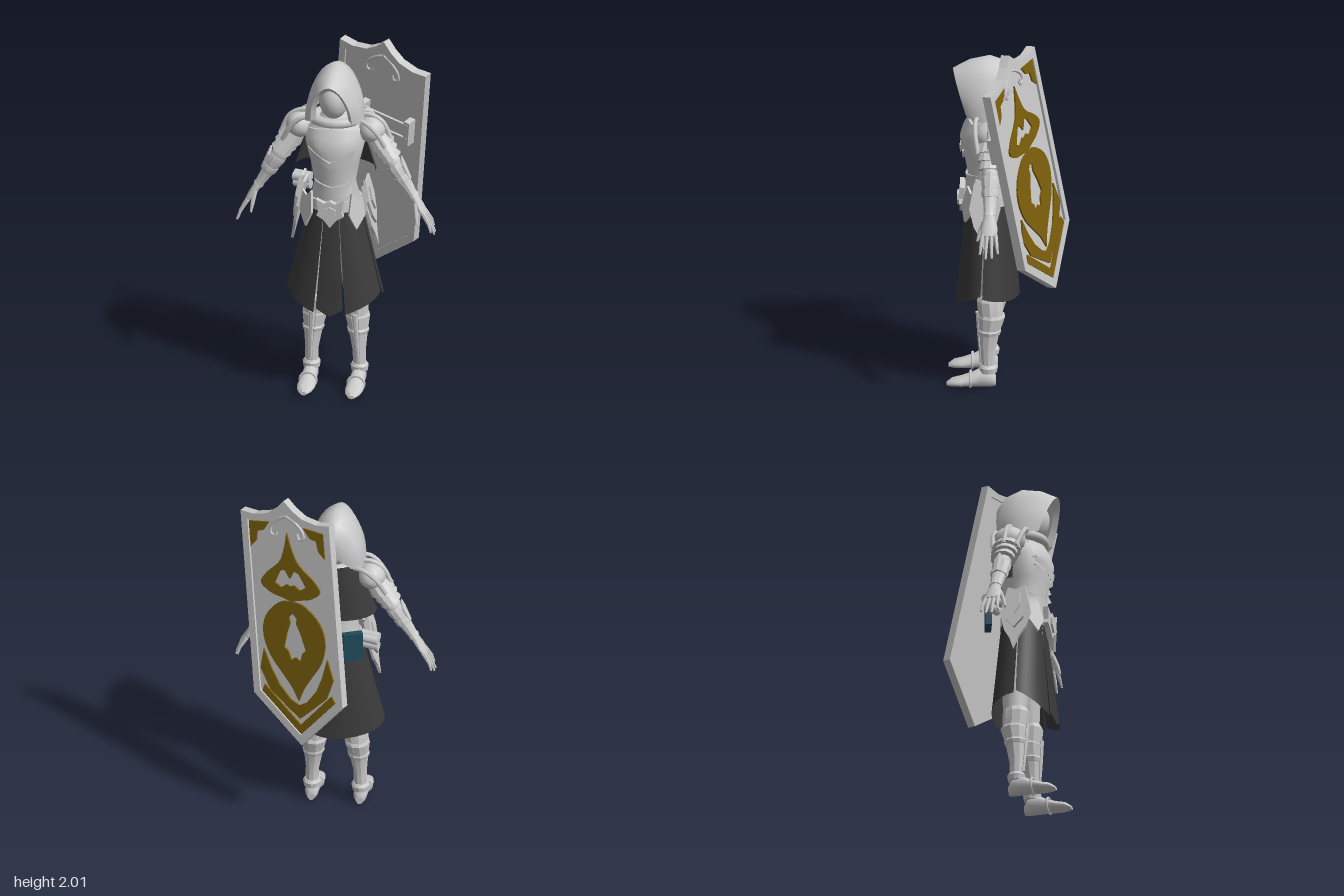
import * as THREE from 'three';
import { toCreasedNormals } from 'three/addons/utils/BufferGeometryUtils.js';

const mat = (name, color) => Object.assign(new THREE.MeshStandardMaterial({ color, side: THREE.DoubleSide }), { name });
const V2 = (p) => new THREE.Vector2(p[0], p[1]);
const { lerp } = THREE.MathUtils;

// Surface through rows of points
function grid(rows, closed = false, crease = 0.7) {
  const n = rows[0].length, idx = [];
  for (let i = 0; i < rows.length - 1; i++)
    for (let j = 0; j < (closed ? n : n - 1); j++) {
      const k = (j + 1) % n, a = i * n + j, b = i * n + k;
      idx.push(a, a + n, b, b, a + n, b + n);
    }
  const g = new THREE.BufferGeometry();
  g.setAttribute('position', new THREE.Float32BufferAttribute(rows.flat(2), 3));
  g.setIndex(idx);
  return toCreasedNormals(g, crease);
}

// Closed body from elliptical rings [y, rx, rz, cx, cz], listed upwards
function loft(rings, n = 16, crease = 0.7) {
  const end = ([y, , , cx, cz]) => [y, 1e-4, 1e-4, cx, cz];
  const all = [end(rings[0]), ...rings, end(rings[rings.length - 1])];
  return grid(all.map(([y, rx, rz, cx = 0, cz = 0]) => Array.from({ length: n }, (_, j) => {
    const a = (j / n) * Math.PI * 2;
    return [cx + rx * Math.cos(a), y, cz + rz * Math.sin(a)];
  })), true, crease);
}

// Symmetric outline from its +x half, listed from top centre to bottom centre
function halves(half, smooth) {
  const p = smooth ? new THREE.SplineCurve(half.map(V2)).getPoints(24) : half.map(V2);
  return [...p, ...p.slice(1, -1).reverse().map((q) => new THREE.Vector2(-q.x, q.y))];
}
function plate(outline, depth, hole) {
  const s = new THREE.Shape(outline);
  if (hole) s.holes.push(new THREE.Path(hole));
  return new THREE.ExtrudeGeometry(s, { depth, bevelEnabled: false });
}

export function createModel() {
  const root = new THREE.Group();
  const steel = mat('pale steel', 0xcbcbcb), cloth = mat('dark cloth', 0x3a3a3a);
  const gold = mat('old gold', 0x7d600c), teal = mat('teal leather', 0x1f4a58);
  const add = (name, geo, m = steel, parent = root, pos = [0, 0, 0], rot = [0, 0, 0]) => {
    const o = new THREE.Mesh(geo, m);
    o.name = name;
    o.position.set(...pos);
    o.rotation.set(...rot);
    parent.add(o);
    return o;
  };
  const group = (name, parent = root) => {
    const g = new THREE.Group();
    g.name = name;
    parent.add(g);
    return g;
  };
  const tube = (pts, r) => new THREE.TubeGeometry(new THREE.CatmullRomCurve3(pts.map((p) => new THREE.Vector3(...p))), 16, r, 6);

  // Torso
  const body = [[1.0, .135, .115, 0, .09], [1.1, .135, .115, 0, .09], [1.2, .113, .11, 0, .1], [1.32, .135, .13, 0, .1],
    [1.44, .165, .14, 0, .1], [1.52, .155, .115, 0, .09], [1.57, .09, .08, 0, .09], [1.62, .06, .06, 0, .09]];
  add('torso', loft(body, 24));
  const frontZ = (x, y) => {
    const i = Math.max(0, body.findIndex((r) => r[0] > y) - 1), a = body[i], b = body[i + 1], t = (y - a[0]) / (b[0] - a[0]);
    const rx = lerp(a[1], b[1], t), q = Math.min(.97, Math.abs(x) / rx);
    return lerp(a[4], b[4], t) + lerp(a[2], b[2], t) * Math.sqrt(1 - q * q);
  };
  // Breastplate and layered chevrons, following the chest
  const chestPlate = (w, low, high, lift) => grid([0, .33, .66, 1, 1.001].map((v) =>
    Array.from({ length: 13 }, (_, i) => {
      const x = w * (1 - i / 6), y = lerp(low(Math.abs(x)), high(Math.abs(x)), Math.min(v, 1));
      return [x, y, frontZ(x, y) + (v > 1 ? -.01 : lift)];
    })), false, .5);
  add('breastplate', chestPlate(.135, (x) => 1.36 + x * .45, (x) => 1.54 - x * .15, .014));
  add('upperChevron', chestPlate(.13, (x) => 1.315 + x * .65, (x) => 1.355 + x * .55, .022));
  add('lowerChevron', chestPlate(.115, (x) => 1.28 + x * .6, (x) => 1.315 + x * .6, .012));
  add('waistPlate', chestPlate(.105, (x) => 1.12 + x * .3, (x) => 1.2 + x * .2, .012));
  add('belt', loft([[1.05, .148, .128, 0, .09], [1.11, .145, .125, 0, .09]], 24));
  add('buckle', plate(halves([[0, 1.13], [.03, 1.115], [.075, 1.14], [.065, 1.07], [.075, 1.045], [.035, 1.02], [0, .975]]), .03),
    steel, root, [0, 0, .225]);
  add('buckleBoss', plate(halves([[0, 1.1], [.035, 1.085], [.035, 1.05], [0, 1.01]]), .012), steel, root, [0, 0, .255]);

  // Hood, face and collar
  const arch = [[-1, 0], [-.95, .28], [-.8, .55], [-.48, .85], [0, 1], [.48, .85], [.8, .55], [.95, .28], [1, 0]];
  const archPts = new THREE.SplineCurve(arch.map(V2)).getPoints(24);
  add('hood', grid([[-.045, -.05, .02, 1.67, 1.72], [-.03, -.05, .1, 1.6, 1.8], [.03, 0, .148, 1.57, 1.86], [.1, .09, .162, 1.56, 1.89],
    [.17, .2, .155, 1.565, 1.865], [.215, .29, .115, 1.58, 1.815], [.185, .255, .09, 1.59, 1.785]].map(([zb, zt, w, bot, top]) =>
    archPts.map((p) => [w * p.x, lerp(bot, top, p.y), lerp(zb, zt, p.y)])), false, 1));
  add('hoodBack', new THREE.SphereGeometry(.1, 20, 14).scale(1, 1.05, .8), steel, root, [0, 1.69, .04]);
  add('face', new THREE.SphereGeometry(1, 24, 18).scale(.082, .115, .1), steel, root, [0, 1.695, .135]);
  add('collar', new THREE.TorusGeometry(.1, .03, 8, 24).rotateX(Math.PI / 2).scale(1.15, .9, 1), steel, root, [0, 1.57, .1]);

  // Cloth panels hung on a flaring ellipse; angle 0 faces front
  const drape = (a0, a1, hem, top, bot, gap = 0) => grid(Array.from({ length: 6 }, (_, r) =>
    Array.from({ length: 15 }, (_, j) => {
      const t = r / 5, u = j / 14, a = lerp(a0 + gap * t, a1 - gap * t, u), y = lerp(top[0], hem(u), t);
      const s = (top[0] - y) / (top[0] - bot[0]);
      return [lerp(top[1], bot[1], s) * Math.sin(a), y, lerp(top[3], bot[3], s) + lerp(top[2], bot[2], s) * Math.cos(a)];
    })), false, .8);
  const waist = [1.08, .14, .12, .09], hemRing = [.52, .275, .172, .1];
  add('frontSkirtPanel', drape(-.28, .28, (u) => .46 + Math.abs(u - .5) * .08, waist, hemRing, .01), cloth);
  for (const s of [1, -1])
    add('sideSkirtPanel', drape(s * .29, s * 1.4, (u) => .475 + u * .1, waist, hemRing, s * .025), cloth);
  add('backSkirtPanel', drape(1.42, Math.PI * 2 - 1.42, (u) => .5 + Math.abs(u - .5) * .12, waist, hemRing, .02), cloth);
  add('cape', drape(1.5, Math.PI * 2 - 1.5, () => 1.27, [1.6, .12, .11, .07], [1.27, .225, .15, .09]), cloth);

  for (const s of [1, -1]) {
    const side = s > 0 ? 'left' : 'right';

    // Arm, built pointing down and swung outward
    const arm = group(side + 'Arm');
    arm.position.set(s * .2, 1.5, .075);
    arm.rotation.z = s * .555;
    add('upperArm', loft([[-.25, .038, .04], [-.15, .046, .05], [0, .05, .06], [.04, .03, .04]]), steel, arm);
    add('elbowCop', new THREE.SphereGeometry(.047, 12, 8), steel, arm, [0, -.215, 0]);
    add('bracer', loft([[-.44, .03, .036], [-.42, .026, .033], [-.3, .04, .045], [-.245, .05, .053], [-.225, .046, .05]], 10, .5), steel, arm);
    add('bracerCuff', loft([[-.34, .041, .046], [-.325, .045, .05], [-.3, .044, .049]], 10, .4), steel, arm);
    add('elbowSpike', loft([[-.34, .01, .02, s * .035], [-.25, .016, .03, s * .045], [-.205, .004, .006, s * .062]], 6, .4), steel, arm);
    [[-.075, .066, .078], [-.12, .06, .07], [-.165, .055, .062]].forEach(([y, rx, rz]) =>
      add('shoulderLame', loft([[y - .025, rx + .006, rz + .006, s * .006], [y + .03, rx - .008, rz - .008, s * .002]], 12, .4), steel, arm));
    add('hand', loft([[-.555, .014, .042], [-.51, .02, .046], [-.46, .022, .034], [-.425, .024, .03]], 12, 1), steel, arm);
    [-.034, -.011, .012, .034].forEach((z, i) => {
      const tip = [-.65, -.675, -.68, -.655][i];
      add('finger', loft([[tip, .006, .006, -s * .012, z * 1.45], [-.61, .01, .01, 0, z * 1.25], [-.54, .012, .012, 0, z]], 8, 1), steel, arm);
    });
    add('thumb', loft([[-.575, .007, .007, -s * .05, .065], [-.53, .012, .012, -s * .03, .052], [-.47, .014, .015, -s * .005, .025]], 8, 1), steel, arm);

    // Pauldron with raised straps
    add(side + 'Pauldron', new THREE.SphereGeometry(1, 16, 10).scale(.078, .075, .092), steel, root, [s * .2, 1.505, .075], [0, 0, -s * .5]);
    for (const z of [.16, -.005])
      add('shoulderStrap', tube([[s * .1, 1.575, .08 + (z - .08) * .7], [s * .17, 1.575, z], [s * .235, 1.52, z], [s * .285, 1.43, .08 + (z - .08) * .8]], .014), steel, root);
    add('shoulderRidge', tube([[s * .09, 1.58, .08], [s * .19, 1.59, .08], [s * .26, 1.55, .08], [s * .31, 1.44, .08]], .014), steel, root);

    // Hip plates, hung from the belt and leaning outward
    const hip = group(side + 'HipPlates');
    hip.position.set(s * .165, 1.16, .11);
    hip.rotation.set(0, s * Math.PI / 2, 0);
    const tilt = group('tiltedPlates', hip);
    tilt.rotation.x = -.2;
    add('lowerHipPlate', plate(halves([[0, .02], [.06, .04], [.085, -.1], [.06, -.2], [.025, -.26], [0, -.33]]), .015), steel, tilt);
    add('upperHipPlate', plate(halves([[0, .05], [.05, .07], [.075, -.05], [.05, -.14], [0, -.2]]), .015), steel, tilt, [0, 0, .015]);
    add('hipRidge', plate(halves([[0, .02], [.025, .02], [.03, -.06], [0, -.12]]), .01), steel, tilt, [0, 0, .03]);
    add('frontHipPlate', plate(halves([[0, 0], [.04, .03], [.05, -.09], [0, -.17]]), .015), steel, root, [s * .135, 1.13, .18], [-.2, s * .7, 0]);

    // Leg, greave and boot
    const leg = group(side + 'Leg');
    add('thigh', loft([[.4, .055, .06, s * .115, .075], [.6, .065, .07, s * .1, .075], [.85, .078, .085, s * .085, .08], [1.02, .07, .085, s * .07, .085]]), steel, leg);
    add('kneePlate', loft([[.4, .062, .068, s * .117, .08], [.5, .068, .075, s * .112, .085], [.53, .058, .065, s * .11, .08]], 10, .4), steel, leg);
    add('greave', loft([[.12, .036, .037, s * .133, .093], [.2, .037, .041, s * .131, .095], [.31, .052, .056, s * .125, .088], [.405, .07, .076, s * .118, .076], [.42, .064, .07, s * .118, .075]], 10, .45), steel, leg);
    add('greaveBand', loft([[.305, .055, .06, s * .125, .088], [.325, .062, .066, s * .124, .087], [.335, .058, .062, s * .123, .085]], 10, .4), steel, leg);
    add('shinRidge', loft([[.14, .008, .008, s * .133, .132], [.3, .012, .01, s * .126, .145], [.43, .016, .012, s * .118, .152]], 6, .4), steel, leg);
    add('boot', loft([[.052, .02, .03, 0, -.035], [.075, .036, .05, 0, -.05], [.13, .04, .055, 0, -.055], [.18, .045, .041, 0, -.041],
      [.24, .051, .028, 0, -.028], [.29, .042, .022, 0, -.022], [.32, .018, .01, 0, -.012]], 14, .8).rotateX(Math.PI / 2), steel, leg, [s * .133, 0, 0]);
    add('ankleCuff', loft([[.085, .046, .047, s * .133, .093], [.115, .05, .052, s * .133, .093], [.13, .04, .043, s * .133, .093]], 12, .5), steel, leg);
    add('bootStrap', new THREE.TorusGeometry(.046, .008, 6, 16).scale(1, .95, 1), steel, leg, [s * .133, .042, .19]);
  }

  // Book and scrolls on the back of the belt
  add('book', new THREE.BoxGeometry(.11, .17, .035), teal, root, [-.115, 1.125, -.075], [0, .38, 0]);
  [[1.155, -.035], [1.11, -.02], [1.155, .005]].forEach(([y, z]) =>
    add('scroll', new THREE.CylinderGeometry(.024, .024, .1, 12).rotateZ(Math.PI / 2), steel, root, [-.205, y, z], [0, -.25, 0]));

  // Shield: local +z is the decorated outer face
  const shield = group('shield');
  const u = new THREE.Vector3(-.909, .157, -.385).normalize();
  const n = u.clone().cross(new THREE.Vector3(.113, .977, .179)).normalize();
  shield.setRotationFromMatrix(new THREE.Matrix4().makeBasis(u, n.clone().cross(u), n));
  shield.position.set(.19, 1.36, -.0925);
  const rimOuter = [[0, .65], [.05, .6], [.11, .56], [.2, .54], [.286, .548], [.286, -.532], [0, -.8]];
  const rimInner = [[0, .575], [.06, .54], [.12, .515], [.246, .5], [.246, -.51], [0, -.74]];
  add('shieldRim', plate(halves(rimOuter), .05, halves(rimInner)), steel, shield);
  add('shieldPanel', plate(halves(rimInner), .026), steel, shield, [0, 0, .01]);
  const inlay = (name, half, hole, smooth = true) =>
    add(name, plate(halves(half, smooth), .0095, hole && halves(hole, false)), gold, shield, [0, 0, .036]);
  inlay('spadeInlay', [[0, .458], [.022, .37], [.06, .28], [.15, .2], [.19, .135], [.13, .085], [.05, .065], [0, .05]],
    [[0, .185], [.03, .235], [.06, .225], [.1, .15], [.06, .125], [.025, .15], [0, .14]]);
  inlay('ringInlay', [[0, .05], [.08, .035], [.17, -.05], [.2, -.16], [.17, -.28], [.1, -.38], [.04, -.46], [0, -.54]],
    [[0, -.02], [.025, -.045], [.02, -.08], [.045, -.14], [.07, -.23], [.045, -.25], [.03, -.3], [0, -.28]]);
  inlay('crescentInlay', [[0, -.565], [.05, -.54], [.12, -.46], [.165, -.37], [.205, -.26], [.235, -.38], [.18, -.5], [.07, -.59], [0, -.645]], null, false);
  inlay('chevronInlay', [[0, -.68], [.215, -.475], [.235, -.515], [0, -.735]], null, false);
  for (const s of [1, -1]) {
    add('cornerInlay', plate([[.24, .34], [.24, .49], [.11, .505], [.15, .45], [.19, .44], [.2, .38]].map(([x, y]) => V2([s * x, y])), .0095), gold, shield, [0, 0, .036]);
    for (const z of [.038, .01])
      add('scrollwork', tube([[0, .555, z], [s * .05, .53, z], [s * .1, .48, z], [s * .105, .44, z], [s * .075, .43, z], [s * .065, .46, z]], .009), steel, shield);
  }

  // Carrying straps on the inner face
  for (const y of [.215, .13])
    add('shieldStrap', new THREE.BoxGeometry(.32, .03, .014), steel, shield, [-.07, y, -.05]);
  for (const x of [-.22, .08])
    add('strapBracket', new THREE.BoxGeometry(.035, .15, .06), steel, shield, [x, .17, -.025]);

  return root;
}
